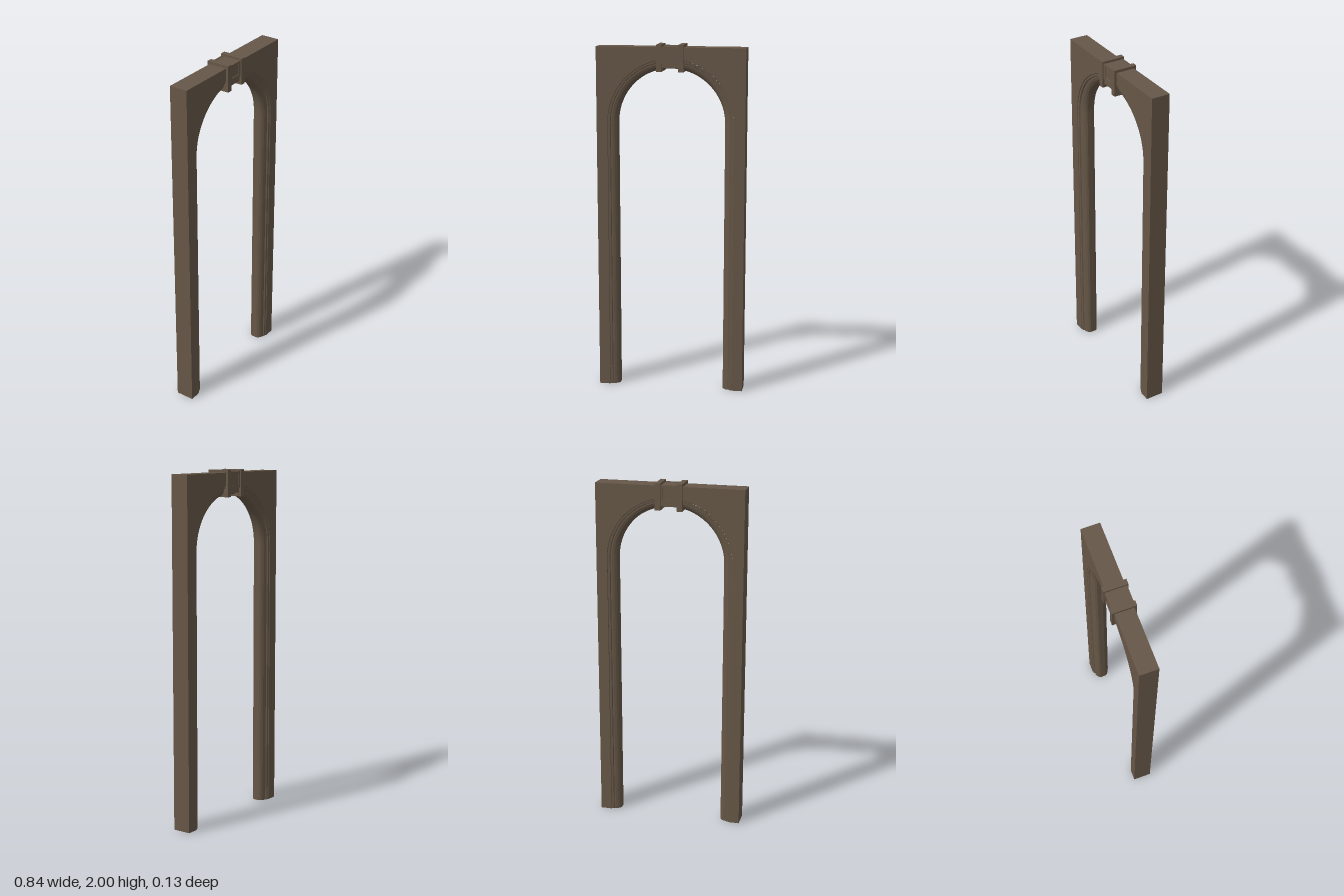
import * as THREE from 'three';
import { mergeGeometries } from 'three/addons/utils/BufferGeometryUtils.js';

const HALF_W = 0.422, TOP = 1.985, HALF_D = 0.053, SPRING = 1.56, R_OUT = 0.36;

// Half of the moulding section: [radius from the arch centre, depth], front to middle
const HALF_SECTION = [
  [R_OUT, HALF_D], [0.358, 0.049], [0.346, 0.048], [0.343, 0.041], [0.335, 0.041],
  [0.322, 0.036], [0.311, 0.027], [0.305, 0.016],
];

export function createModel() {
  const group = new THREE.Group();
  const wood = new THREE.MeshStandardMaterial({ color: 0x665747 });
  wood.name = 'brown wood';

  const add = (name, geometry, x = 0, y = 0, z = 0) => {
    const mesh = new THREE.Mesh(geometry, wood);
    mesh.name = name;
    mesh.position.set(x, y, z);
    group.add(mesh);
    return mesh;
  };

  // Square frame with a round-headed opening
  const frame = new THREE.Shape();
  frame.moveTo(-HALF_W, 0);
  frame.lineTo(-R_OUT, 0);
  frame.lineTo(-R_OUT, SPRING);
  frame.absarc(0, SPRING, R_OUT, Math.PI, 0, true);
  frame.lineTo(R_OUT, 0);
  frame.lineTo(HALF_W, 0);
  frame.lineTo(HALF_W, TOP);
  frame.lineTo(-HALF_W, TOP);
  frame.closePath();
  const frameGeo = new THREE.ExtrudeGeometry(frame, {
    depth: HALF_D * 2, bevelEnabled: false, curveSegments: 40,
  });
  add('frame', frameGeo, 0, 0, -HALF_D);

  // Full moulding section, mirrored front to back
  const section = [
    ...HALF_SECTION,
    ...HALF_SECTION.map(([r, z]) => [r, -z]).reverse(),
  ].map(([r, z]) => new THREE.Vector2(r, z));

  // Straight mouldings down both legs
  const legGeo = new THREE.ExtrudeGeometry(new THREE.Shape(section), {
    depth: SPRING, bevelEnabled: false,
  }).rotateX(-Math.PI / 2);
  add('leftLegMoulding', legGeo);
  add('rightLegMoulding', legGeo).rotation.y = Math.PI;

  // Arch moulding: one half-turn strip per section edge keeps the edges crisp
  const strips = [];
  for (let i = 0; i < section.length - 1; i++) {
    strips.push(new THREE.LatheGeometry([section[i], section[i + 1]], 40, Math.PI / 2, Math.PI));
  }
  add('archMoulding', mergeGeometries(strips).rotateX(Math.PI / 2), 0, SPRING, 0);

  // Keystone: a core, two straps and a raised border on front and back
  add('keystoneCore', new THREE.BoxGeometry(0.096, 0.116, 0.11), 0, 1.929, 0);
  for (const side of [-1, 1]) {
    add('keystoneStrap', new THREE.BoxGeometry(0.03, 0.15, 0.134), side * 0.062, 1.925, 0);
  }
  const border = new THREE.Shape();
  border.moveTo(-0.047, 1.9);
  border.lineTo(0.047, 1.9);
  border.lineTo(0.047, 1.99);
  border.lineTo(-0.047, 1.99);
  border.closePath();
  const panel = new THREE.Path();
  panel.moveTo(-0.034, 1.914);
  panel.lineTo(-0.034, 1.978);
  panel.lineTo(0.034, 1.978);
  panel.lineTo(0.034, 1.914);
  panel.closePath();
  border.holes.push(panel);
  const borderGeo = new THREE.ExtrudeGeometry(border, { depth: 0.008, bevelEnabled: false });
  add('keystoneFrontBorder', borderGeo, 0, 0, 0.052);
  add('keystoneBackBorder', borderGeo, 0, 0, -0.06);

  return group;
}
